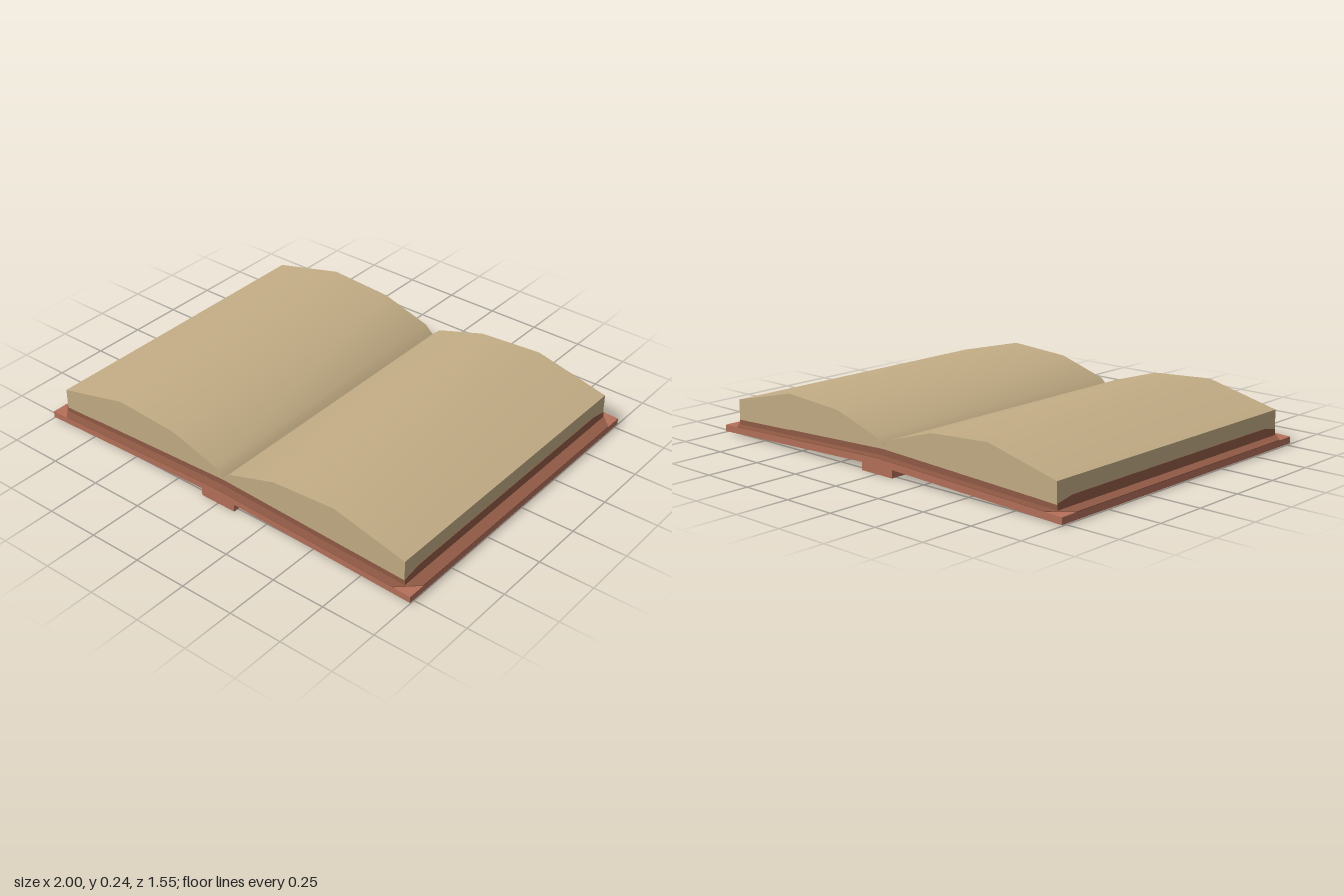
import * as THREE from 'three';
import { toCreasedNormals } from 'three/addons/utils/BufferGeometryUtils.js';

export function createModel() {
  const book = new THREE.Group();
  book.name = 'openBook';
  const mat = (name, color) => Object.assign(new THREE.MeshStandardMaterial({ color }), { name });
  const paper = mat('paper', 0xc3ad85);
  const leather = mat('lightLeather', 0xb5705a);
  const lining = mat('darkLeather', 0x915a45);
  const HALF_DEPTH = 0.775, PAGE_X = 0.943, PAGE_Z = 0.737;

  const add = (name, geometry, material) => {
    const mesh = new THREE.Mesh(geometry, material);
    mesh.name = name;
    book.add(mesh);
    return mesh;
  };
  const polygon = (points) => new THREE.Shape(points.map(([x, y]) => new THREE.Vector2(x, y)));
  // Mirrors upper and lower half-profiles about x = 0 and extrudes them along z
  const mirrored = (top, bottom, halfZ) => {
    const right = [...top, ...bottom.slice().reverse()];
    const left = right.slice(1, -1).reverse().map(([x, y]) => [-x, y]);
    const geometry = new THREE.ExtrudeGeometry(polygon([...right, ...left]), { depth: 2 * halfZ, bevelEnabled: false });
    geometry.translate(0, 0, -halfZ);
    return toCreasedNormals(geometry, 0.6);
  };

  // Cover boards, rising gently towards the middle
  add('coverBoards', mirrored([[0, 0.069], [1, 0.034]], [[0, 0.039], [1, 0.004]], HALF_DEPTH), leather);

  // Spine block
  add('spine', new THREE.BoxGeometry(0.18, 0.042, 2 * HALF_DEPTH), leather).position.y = 0.021;

  // Block between the boards and the pages
  add('endpaperBlock', mirrored([[0, 0.1], [PAGE_X, 0.062]], [[0, 0.06], [PAGE_X, 0.03]], PAGE_Z), lining);

  // Page block with its two swelling halves
  add('pages', mirrored(
    [[0, 0.108], [0.04, 0.145], [0.28, 0.219], [0.59, 0.239], [PAGE_X, 0.154]],
    [[0, 0.098], [PAGE_X, 0.06]], PAGE_Z), paper);

  for (const s of [1, -1]) {
    const side = s > 0 ? 'left' : 'right';

    // Thin lining sheet with cut corners that leave the board corners bare
    const c = 0.085;
    const sheet = new THREE.ExtrudeGeometry(polygon([
      [0, -HALF_DEPTH], [s * (1 - c), -HALF_DEPTH], [s, c - HALF_DEPTH],
      [s, HALF_DEPTH - c], [s * (1 - c), HALF_DEPTH], [0, HALF_DEPTH],
    ]), { depth: 0.003, bevelEnabled: false });
    sheet.rotateX(-Math.PI / 2);
    const p = sheet.attributes.position;
    for (let i = 0; i < p.count; i++) p.setY(i, p.getY(i) + 0.069 - 0.035 * Math.abs(p.getX(i)));
    sheet.computeVertexNormals();
    add(side + 'LiningSheet', sheet, lining);

    // Raised lining strip along the outer foot of the pages
    const strip = new THREE.ExtrudeGeometry(polygon([
      [-PAGE_Z, 0.034], [PAGE_Z, 0.034], [PAGE_Z, 0.066], [0.65, 0.083], [-0.65, 0.083], [-PAGE_Z, 0.066],
    ]), { depth: 0.003, bevelEnabled: false });
    strip.rotateY(s * Math.PI / 2);
    add(side + 'LiningStrip', strip, lining).position.x = s * (PAGE_X - 0.001);
  }
  return book;
}
